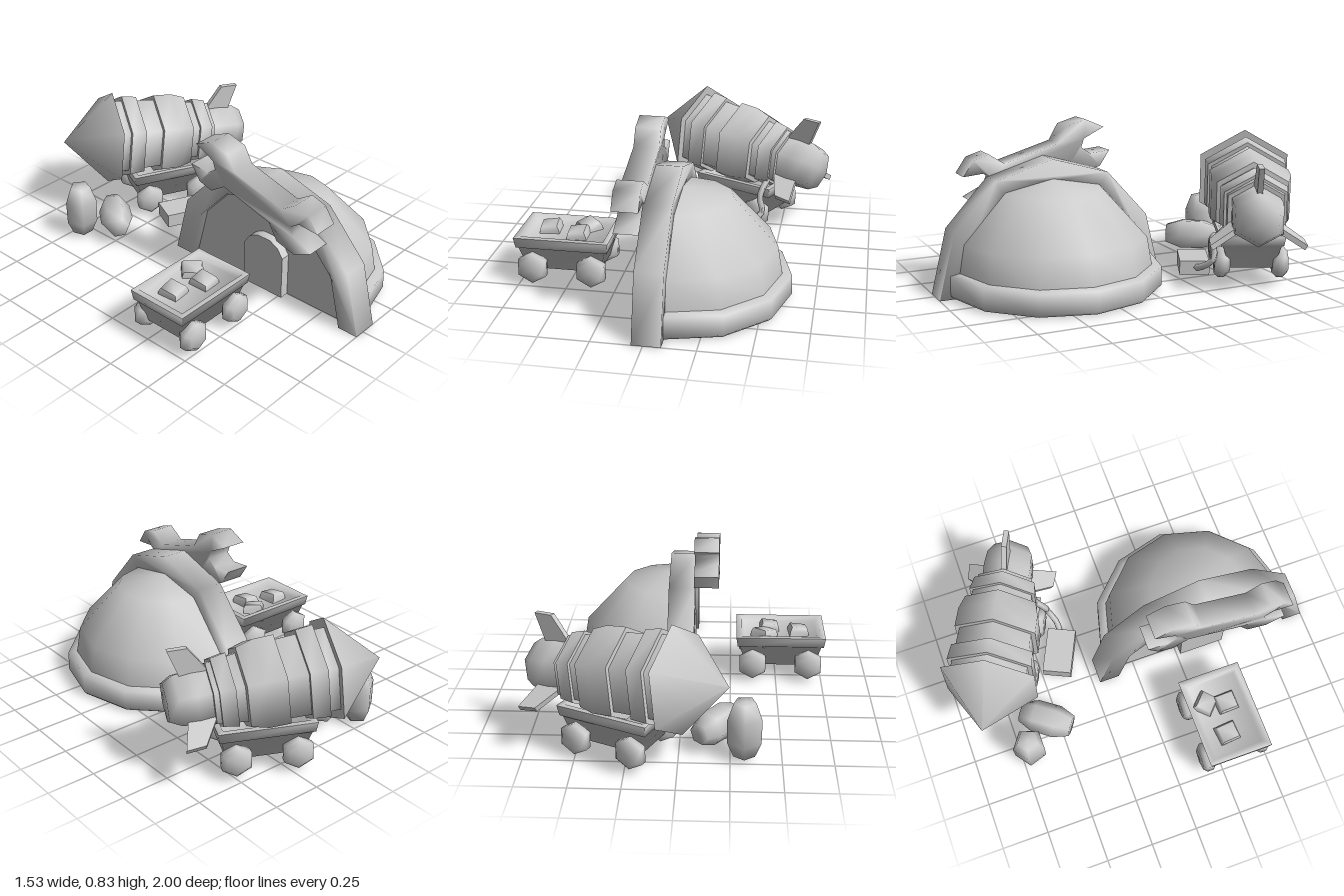
import * as THREE from 'three';
import { toCreasedNormals } from 'three/addons/utils/BufferGeometryUtils.js';

const MAT = new THREE.MeshStandardMaterial({ color: 0xcccccc, side: THREE.DoubleSide });
const CZ = 0.395; // z of the hangar's middle
const SOFT = 1.65; // crease angle that also rounds square edges

function add(parent, geometry, name, crease = 0.6) {
  const mesh = new THREE.Mesh(toCreasedNormals(geometry, crease), MAT);
  mesh.name = name;
  parent.add(mesh);
  return mesh;
}

const vec2 = (pts) => pts.map(([x, y]) => new THREE.Vector2(x, y));
const lathe = (pts, sides, length = Math.PI * 2) => new THREE.LatheGeometry(vec2(pts), sides, 0, length);

// Slab with a (z, y) outline, reaching from xMax towards -x
function sideSlab(parent, pts, xMax, depth, name, crease) {
  const geometry = new THREE.ExtrudeGeometry(new THREE.Shape(vec2(pts)), { depth, bevelEnabled: false });
  const mesh = add(parent, geometry, name, crease);
  mesh.rotation.y = -Math.PI / 2;
  mesh.position.x = xMax;
}

// Half ellipse of six straight segments in (z, y)
function halfArc(rz, ry) {
  return Array.from({ length: 7 }, (_, i) => {
    const a = (i * Math.PI) / 6;
    return [CZ + rz * Math.cos(a), ry * Math.sin(a)];
  });
}

// Surface through rectangular rings given as [y, halfX, halfZ], capped at both ends
function rectLoft(rings) {
  const pos = [], index = [];
  for (const [y, hx, hz] of rings) pos.push(-hx, y, hz, hx, y, hz, hx, y, -hz, -hx, y, -hz);
  for (let r = 0; r < rings.length - 1; r++) {
    for (let k = 0; k < 4; k++) {
      const a = r * 4 + k, b = r * 4 + ((k + 1) % 4);
      index.push(a, b, b + 4, a, b + 4, a + 4);
    }
  }
  const e = (rings.length - 1) * 4;
  index.push(0, 2, 1, 0, 3, 2, e, e + 1, e + 2, e, e + 2, e + 3);
  const g = new THREE.BufferGeometry();
  g.setAttribute('position', new THREE.Float32BufferAttribute(pos, 3));
  g.setIndex(index);
  return g;
}

function makeHangar() {
  const g = new THREE.Group();
  g.name = 'hangar';
  // Half dome and the kerb around its foot
  const dome = add(g, lathe([[0.505, 0.05], [0.5, 0.125], [0.475, 0.27], [0.255, 0.51], [0, 0.56]], 6, Math.PI), 'dome', 1.1);
  const kerb = add(g, lathe([[0.48, 0.01], [0.535, 0.005], [0.55, 0.02], [0.548, 0.12], [0.495, 0.128]], 6, Math.PI), 'kerb', 1.45);
  for (const m of [dome, kerb]) m.position.set(0.083, 0, CZ);
  // Arch, end wall and door
  sideSlab(g, [...halfArc(0.605, 0.66), ...halfArc(0.495, 0.55).reverse()], 0.085, 0.14, 'arch', SOFT);
  sideSlab(g, halfArc(0.5, 0.555), 0.01, 0.01, 'endWall');
  const door = [[-0.125, 0], [0.125, 0], [0.125, 0.24], [0.09, 0.29], [0.04, 0.315], [-0.04, 0.315], [-0.09, 0.29], [-0.125, 0.24]];
  sideSlab(g, door.map(([z, y]) => [CZ + z, y]), 0.005, 0.055, 'door');
  // Double-ended wrench: half outline, repeated by a half turn
  const half = [[0.53, 0.525], [0.24, 0.61], [0.155, 0.555], [0.075, 0.58], [0.02, 0.66], [0.13, 0.65],
    [0.18, 0.685], [0.165, 0.73], [0.053, 0.785], [0.155, 0.83], [0.26, 0.8]];
  const turned = half.map(([z, y]) => [0.84 - z, 1.24 - y]);
  sideSlab(g, [...half, ...turned], -0.05, 0.13, 'wrench', SOFT);
  return g;
}

function makeCart(name) {
  const g = new THREE.Group();
  g.name = name;
  add(g, rectLoft([[0.08, 0.19, 0.115], [0.2, 0.222, 0.15], [0.205, 0.235, 0.16], [0.26, 0.243, 0.17],
    [0.262, 0.215, 0.145], [0.235, 0.2, 0.13]]), 'cartBody', SOFT);
  // Hexagonal wheels with domed faces
  for (const x of [-0.152, 0.152]) {
    for (const s of [-1, 1]) {
      const wheel = add(g, lathe([[0, -0.04], [0.055, -0.04], [0.082, -0.015], [0.082, 0.02], [0.06, 0.04], [0, 0.04]], 6), 'wheel', SOFT);
      wheel.rotation.x = (s * Math.PI) / 2;
      wheel.position.set(x, 0.1, s * 0.15);
    }
  }
  return g;
}

function makeRocket() {
  const g = new THREE.Group();
  g.name = 'rocket';
  // Local y points to the nose, local z points up
  const Y = new THREE.Vector3(-0.9, 0.1, -0.43).normalize();
  const X = new THREE.Vector3().crossVectors(Y, new THREE.Vector3(0, 1, 0)).normalize();
  const Z = new THREE.Vector3().crossVectors(X, Y);
  g.quaternion.setFromRotationMatrix(new THREE.Matrix4().makeBasis(X, Y, Z));
  g.position.set(0, 0.45, -0.78);
  // Stepped hexagonal body, from the nose to the engine
  add(g, lathe([[0.277, 0], [0, 0.268]], 6), 'noseCone', SOFT);
  add(g, lathe([[0.2, 0], [0.277, 0]], 6), 'noseConeBase');
  add(g, lathe([[0.21, -0.14], [0.242, -0.14], [0.252, -0.055], [0.225, -0.055], [0.225, 0]], 6), 'frontBand', 1.1);
  add(g, lathe([[0.14, -0.58], [0.165, -0.58], [0.185, -0.44], [0.215, -0.245], [0.22, -0.14]], 6), 'body', 1.1);
  add(g, lathe([[0.18, -0.435], [0.215, -0.43], [0.24, -0.35], [0.242, -0.245], [0.21, -0.245]], 6), 'midSection', 1.1);
  add(g, lathe([[0.16, -0.555], [0.185, -0.555], [0.2, -0.48], [0.18, -0.48]], 6), 'rearBand', 1.1);
  add(g, lathe([[0, -0.79], [0.105, -0.79], [0.138, -0.735], [0.145, -0.65], [0.14, -0.56]], 6), 'engine', 1.1);
  // Three swept fins
  const fin = new THREE.Shape(vec2([[0.1, -0.7], [0.272, -0.75], [0.267, -0.655], [0.1, -0.55]]));
  for (let i = 0; i < 3; i++) {
    const geo = new THREE.ExtrudeGeometry(fin, { depth: 0.028, bevelEnabled: false });
    geo.translate(0, 0, -0.014);
    add(g, geo, 'fin').rotation.y = -Math.PI / 2 + (i * 2 * Math.PI) / 3;
  }
  return g;
}

export function createModel() {
  const root = new THREE.Group();
  root.name = 'rocketBase';
  root.add(makeHangar(), makeRocket());

  // Cart loaded with rocks
  const oreCart = makeCart('oreCart');
  oreCart.position.set(-0.522, 0, 0.33);
  [[-0.098, -0.025, 0.1], [0.09, -0.075, 0.8], [0.06, 0.03, 0.05]].forEach(([x, z, turn]) => {
    const rock = add(oreCart, rectLoft([[-0.05, 0.052, 0.055], [0.02, 0.05, 0.054], [0.042, 0.042, 0.045]]), 'rock', 1.2);
    rock.position.set(x, 0.233, z);
    rock.rotation.set(0.1, turn, 0.12);
  });
  root.add(oreCart);

  // Cart carrying the rocket
  const rocketCart = makeCart('rocketCart');
  rocketCart.position.set(0.29, 0, -0.632);
  rocketCart.rotation.y = -Math.atan2(0.43, 0.9);
  root.add(rocketCart);

  // Standing and lying barrels
  const barrel = [[0, 0], [0.055, 0], [0.086, 0.075], [0.088, 0.2], [0.057, 0.285], [0, 0.285]];
  const standing = add(root, lathe(barrel, 5), 'standingBarrel', SOFT);
  standing.position.set(-0.317, 0.02, -0.695);
  standing.rotation.y = Math.PI;
  const lying = add(root, lathe(barrel, 6), 'lyingBarrel', SOFT);
  const axis = new THREE.Vector3(-0.6, 0, 0.8).normalize();
  lying.quaternion.setFromUnitVectors(new THREE.Vector3(0, 1, 0), axis);
  lying.position.set(-0.1, 0.115, -0.675);

  // Fuel box and its hose up to the rocket
  const box = add(root, new THREE.BoxGeometry(0.25, 0.075, 0.155), 'fuelBox');
  box.position.set(0.168, 0.06, -0.37);
  box.rotation.y = -0.44;
  const path = new THREE.CatmullRomCurve3([[0.27, 0.06, -0.33], [0.34, 0.08, -0.33], [0.4, 0.13, -0.36],
    [0.385, 0.22, -0.37], [0.43, 0.32, -0.44]].map((p) => new THREE.Vector3(...p)));
  add(root, new THREE.TubeGeometry(path, 10, 0.018, 5), 'hose', 1.3);
  return root;
}
